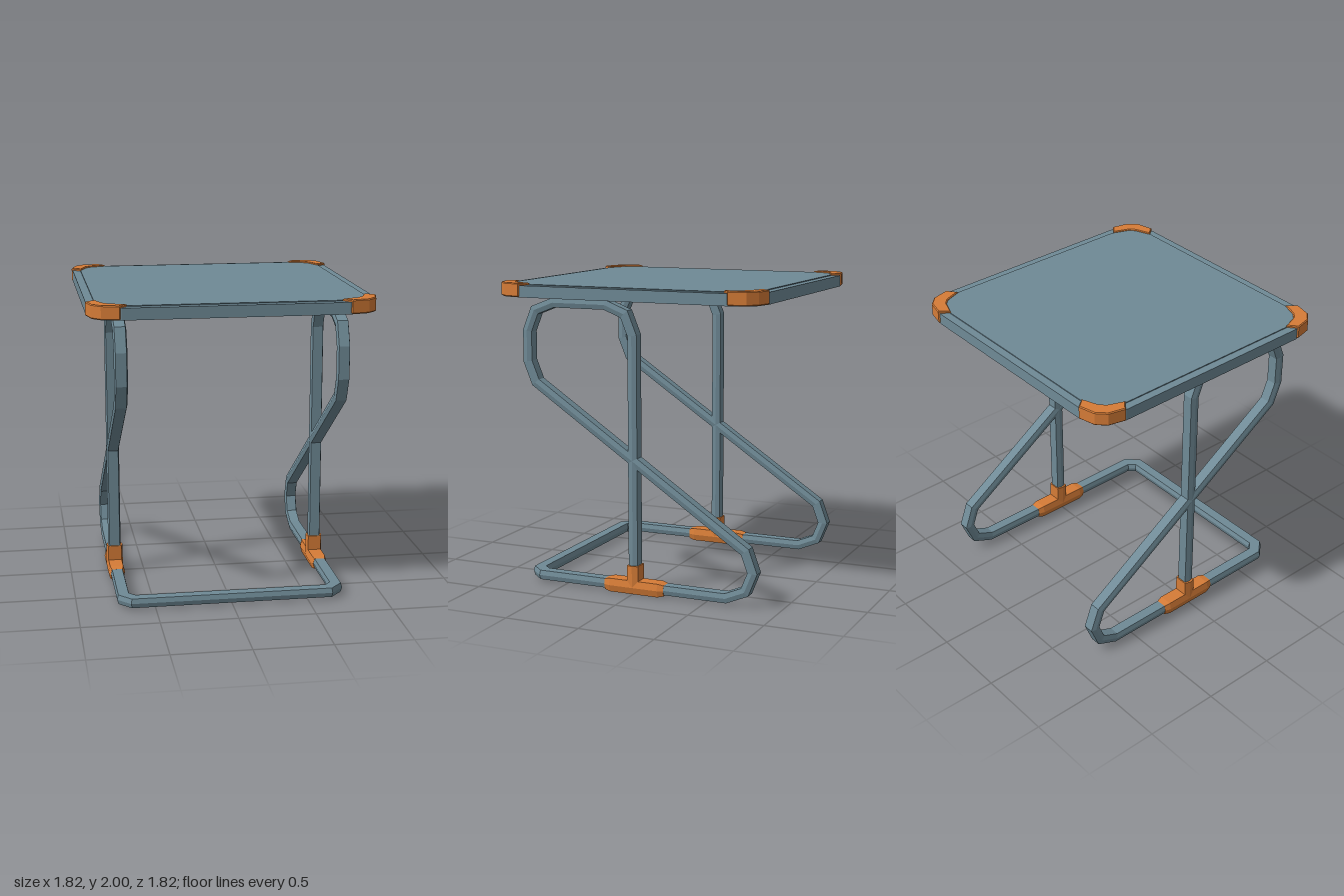
import * as THREE from 'three';

const V = (x, y, z) => new THREE.Vector3(x, y, z);

// Flattened hexagon, as [lateral, normal] factors
const SECTION = [[1, 0], [0.8, 1], [-0.8, 1], [-1, 0], [-0.8, -1], [0.8, -1]];

// Mitred sweep of the hexagon; each point is { p, side, s } with side the lateral direction
function sweep(path, lateral, normal) {
  const rings = path.map(({ p, side, s = 1 }, i) => {
    const prev = path[i - 1]?.p, next = path[i + 1]?.p;
    const d1 = prev ? p.clone().sub(prev).normalize() : next.clone().sub(p).normalize();
    const d2 = next ? next.clone().sub(p).normalize() : d1.clone();
    const t = d1.clone().add(d2).normalize();
    const b = side.clone().addScaledVector(t, -side.dot(t)).normalize();
    const n = t.clone().cross(b);
    const m = d2.clone().sub(d1).normalize();
    const stretch = 1 / t.dot(d1) - 1;
    return SECTION.map(([u, v]) => {
      const o = b.clone().multiplyScalar(u * lateral * s).addScaledVector(n, v * normal * s);
      return o.addScaledVector(m, o.dot(m) * stretch).add(p);
    });
  });
  const out = [];
  const tri = (...vs) => vs.forEach((v) => out.push(v.x, v.y, v.z));
  for (let i = 0; i < rings.length - 1; i++) {
    for (let j = 0; j < 6; j++) {
      const k = (j + 1) % 6, r = rings[i], q = rings[i + 1];
      tri(r[j], r[k], q[k]);
      tri(r[j], q[k], q[j]);
    }
  }
  const first = rings[0], last = rings[rings.length - 1];
  for (let j = 1; j < 5; j++) {
    tri(first[0], first[j + 1], first[j]);
    tri(last[0], last[j], last[j + 1]);
  }
  const g = new THREE.BufferGeometry();
  g.setAttribute('position', new THREE.Float32BufferAttribute(out, 3));
  g.computeVertexNormals();
  return g;
}

// Flat plate from an outline in plan, between two heights
function plate(points, y0, y1, bevel = 0) {
  const shape = new THREE.Shape(points.map(([x, y]) => new THREE.Vector2(x, y)));
  const g = new THREE.ExtrudeGeometry(shape, {
    depth: y1 - y0 - 2 * bevel, bevelEnabled: bevel > 0, bevelSegments: 1,
    bevelSize: bevel, bevelThickness: bevel, bevelOffset: -bevel,
  });
  g.rotateX(-Math.PI / 2);
  g.translate(0, y0 + bevel, 0);
  return g;
}

// Repeat one corner of an outline around the four corners
function fourCorners(corner) {
  const pts = [];
  for (let q = 0; q < 4; q++) {
    for (let [x, y] of corner) {
      for (let i = 0; i < q; i++) [x, y] = [-y, x];
      pts.push([x, y]);
    }
  }
  return pts;
}

export function createModel() {
  const group = new THREE.Group();
  const slate = new THREE.MeshStandardMaterial({ color: 0x6f8a96 });
  slate.name = 'slate blue';
  const orange = new THREE.MeshStandardMaterial({ color: 0xd67c37 });
  orange.name = 'orange';
  const add = (name, geometry, material) => {
    const mesh = new THREE.Mesh(geometry, material);
    mesh.name = name;
    group.add(mesh);
    return mesh;
  };

  // Tubular frame: one bent tube, up each side and across the front
  const legZY = [
    [0, 0.05], [0, 1.68], [0.055, 1.815], [0.19, 1.868], [0.56, 1.868], [0.695, 1.815],
    [0.75, 1.68], [0.75, 1.48], [0.695, 1.345], [-0.77, 0.365], [-0.82, 0.23],
    [-0.77, 0.105], [-0.64, 0.05],
  ];
  const half = (s) => [
    ...legZY.map(([z, y]) => ({ p: V(s * 0.7, y, z), side: V(s, 0, 0) })),
    { p: V(s * 0.7, 0.05, 0.67), side: V(s, 0, 0.4) },
    { p: V(s * 0.64, 0.05, 0.735), side: V(s * 0.4, 0, 1) },
  ];
  add('tubeFrame', sweep([...half(1), ...half(-1).reverse()], 0.043, 0.031), slate);

  // T-shaped joints where the uprights meet the floor rails
  for (const s of [1, -1]) {
    const label = s > 0 ? 'left' : 'right';
    const side = V(1, 0, 0);
    const rail = [[-0.215, 0.8], [-0.175, 1], [0.165, 1], [0.205, 0.8]]
      .map(([z, k]) => ({ p: V(s * 0.7, 0.046, z), side, s: k }));
    add(label + 'JointRailSleeve', sweep(rail, 0.056, 0.044), orange);
    const post = [0.05, 0.19].map((y) => ({ p: V(s * 0.7, y, 0), side }));
    add(label + 'JointUprightSleeve', sweep(post, 0.056, 0.039), orange);
  }

  // Tabletop: slab with rim and a slightly raised work surface
  const slab = fourCorners([[0.902, 0.7], [0.875, 0.82], [0.82, 0.875], [0.7, 0.902]]);
  add('tabletop', plate(slab, 1.91, 1.985), slate);
  const surface = fourCorners([[0.85, 0.66], [0.81, 0.775], [0.775, 0.81], [0.66, 0.85]]);
  add('workSurface', plate(surface, 1.985, 1.991), slate);

  // Corner guards wrapping the tabletop edge
  const guard = plate([
    [0.908, 0.715], [0.882, 0.825], [0.825, 0.882], [0.715, 0.908],
    [0.665, 0.845], [0.77, 0.805], [0.805, 0.77], [0.845, 0.665],
  ], 1.912, 2, 0.006);
  for (let i = 0; i < 4; i++) {
    add('cornerGuard' + (i + 1), guard, orange).rotation.y = i * Math.PI / 2;
  }
  return group;
}
